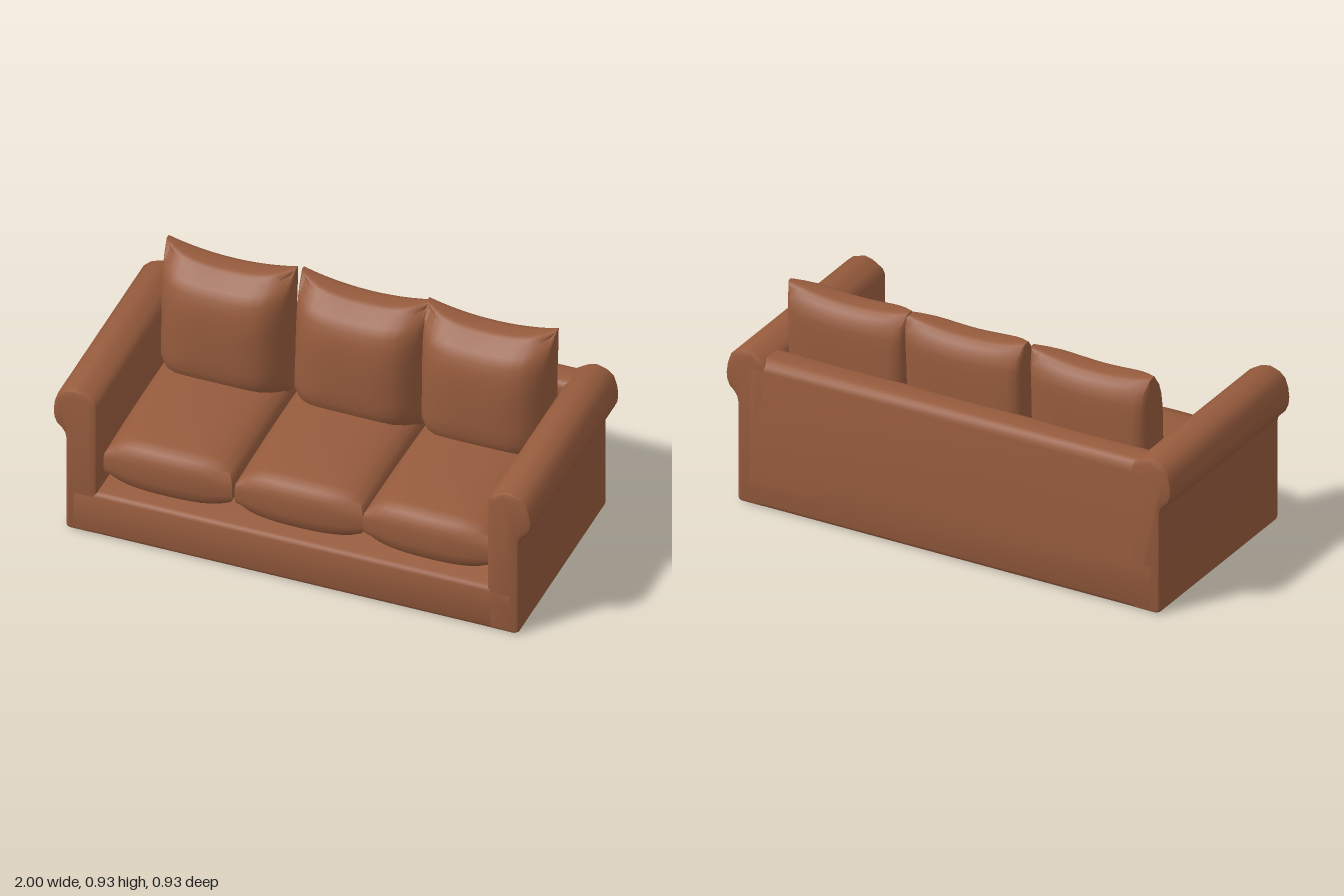
import * as THREE from 'three';
import { mergeVertices, toCreasedNormals } from 'three/addons/utils/BufferGeometryUtils.js';

const leather = new THREE.MeshStandardMaterial({ color: 0x965b3d });
leather.name = 'brown leather';

function addMesh(parent, name, geometry) {
  const mesh = new THREE.Mesh(geometry, leather);
  mesh.name = name;
  parent.add(mesh);
  return mesh;
}

// Centred extrusion along z whose bevel stays inside the outline
function extrude(points, length, bevel) {
  const shape = new THREE.Shape(points.map(([x, y]) => new THREE.Vector2(x, y)));
  const g = new THREE.ExtrudeGeometry(shape, {
    depth: length - 2 * bevel, bevelEnabled: bevel > 0, bevelSize: bevel,
    bevelThickness: bevel, bevelOffset: -bevel, bevelSegments: 2,
  });
  g.translate(0, 0, -length / 2 + bevel);
  return g;
}

// Extrusion along x of an outline given as [z, y]
function extrudeAcross(points, length) {
  const g = extrude(points.map(([z, y]) => [-z, y]), length, 0);
  return toCreasedNormals(g.rotateY(Math.PI / 2), 0.9);
}

// Pillow: a subdivided cube whose points (-1 to 1) are moved by a rule
function pillow(nx, ny, nz, rule) {
  const g = new THREE.BoxGeometry(2, 2, 2, nx, ny, nz);
  const p = g.attributes.position;
  for (let i = 0; i < p.count; i++) p.setXYZ(i, ...rule(p.getX(i), p.getY(i), p.getZ(i)));
  g.deleteAttribute('normal');
  g.deleteAttribute('uv');
  const merged = mergeVertices(g, 1e-4);
  return toCreasedNormals(merged, 0.85);
}

// Seat cushion: crowned top and belly, bulging front, pinched corners
function seatRule(u, v, w) {
  const edge = (1 - Math.pow(Math.abs(u), 3.5)) * (1 - 0.35 * Math.pow(w, 6));
  const half = 0.068 + 0.042 * edge;
  const tuck = Math.pow(v, 4);
  return [
    u * (0.268 - 0.018 * tuck * u * u),
    0.305 + v * half + 0.008 * (1 - w * w),
    0.03 + w * (0.365 + 0.02 * (1 - u * u) - 0.025 * tuck * w * w),
  ];
}

// Back cushion: leaning, thick in the middle, with raised upper corners
function backRule(u, v, w) {
  const side = Math.pow(u, 4), end = Math.pow(v, 6);
  const front = -0.085 - 0.045 * Math.pow(Math.max(v, 0), 2) - 0.075 * side - 0.055 * end;
  const rear = -0.352 + 0.012 * side + 0.03 * end;
  const t = (w + 1) / 2;
  const roundTop = v > 0 ? 0.028 * Math.pow(w, 4) * Math.pow(v, 6) : 0;
  return [
    u * (0.262 + 0.009 * v * v - 0.02 * Math.pow(w, 4) * side),
    0.63 + v * 0.262 + (v > 0 ? 0.034 * u * u * v * v : 0) - roundTop,
    rear + (front - rear) * t,
  ];
}

export function createModel() {
  const sofa = new THREE.Group();
  sofa.name = 'sofa';

  // Base with softened long edges
  addMesh(sofa, 'base', extrudeAcross([
    [-0.445, 0], [0.445, 0], [0.459, 0.006], [0.465, 0.02], [0.465, 0.18],
    [0.459, 0.194], [0.445, 0.2], [-0.465, 0.2], [-0.465, 0.02], [-0.459, 0.006],
  ], 1.82));

  // Backrest with a rolled top
  addMesh(sofa, 'backrest', extrudeAcross([
    [-0.465, 0.1], [-0.465, 0.595], [-0.46, 0.617], [-0.446, 0.633], [-0.425, 0.64],
    [-0.35, 0.64], [-0.333, 0.634], [-0.322, 0.62], [-0.318, 0.6], [-0.318, 0.1],
  ], 1.78));

  // Arms with an outward scroll
  const armOutline = [
    [0.815, 0.015], [0.83, 0], [0.93, 0], [0.943, 0.007], [0.947, 0.02],
    [0.947, 0.43], [0.952, 0.455], [0.965, 0.475], [0.985, 0.492], [0.997, 0.52],
    [1, 0.55], [0.995, 0.59], [0.982, 0.63], [0.955, 0.655], [0.91, 0.67],
    [0.875, 0.663], [0.845, 0.645], [0.825, 0.632], [0.815, 0.61],
  ];
  for (const [name, s] of [['leftArm', 1], ['rightArm', -1]]) {
    const g = extrude(armOutline.map(([x, y]) => [s * x, y]), 0.93, 0.018);
    addMesh(sofa, name, toCreasedNormals(g, 0.75));
  }

  // Three seat and three back cushions, each turned a touch
  const seat = pillow(12, 6, 12, seatRule);
  const back = pillow(12, 12, 8, backRule);
  const places = [['right', -0.547, 0.006], ['middle', 0, 0.006], ['left', 0.542, -0.015]];
  for (const [name, x, turn] of places) {
    const s = addMesh(sofa, name + 'SeatCushion', seat);
    s.position.x = x;
    s.rotation.y = turn;
    const b = addMesh(sofa, name + 'BackCushion', back);
    b.position.x = name === 'middle' ? 0.004 : x;
    b.rotation.z = name === 'middle' ? -0.015 : 0;
  }
  return sofa;
}
